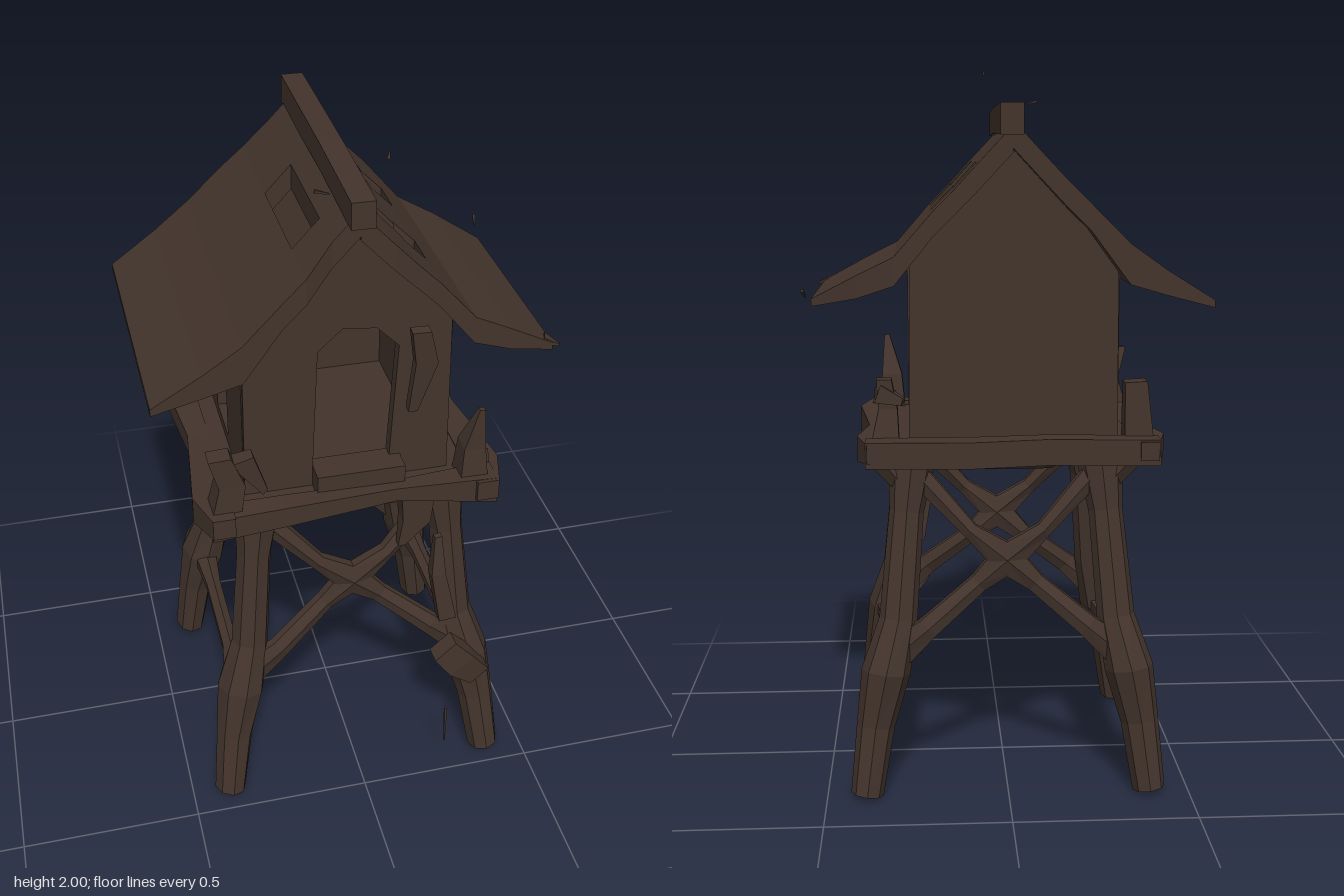
import * as THREE from 'three';

export function createModel() {
  const model = new THREE.Group();
  const wood = new THREE.MeshStandardMaterial({ color: 0x43342c });
  wood.name = 'dark weathered wood';

  function add(name, geometry) {
    const flat = geometry.index ? geometry.toNonIndexed() : geometry;
    flat.computeVertexNormals();
    const mesh = new THREE.Mesh(flat, wood);
    mesh.name = name;
    model.add(mesh);
  }

  // Box whose eight corners are placed by a rule on the signs of x, y, z
  function hex(name, corner) {
    const g = new THREE.BoxGeometry(2, 2, 2);
    const p = g.attributes.position;
    for (let i = 0; i < p.count; i++) p.setXYZ(i, ...corner(p.getX(i), p.getY(i), p.getZ(i)));
    add(name, g);
  }
  const box = (name, x0, x1, y0, y1, z0, z1) =>
    hex(name, (a, b, c) => [a < 0 ? x0 : x1, b < 0 ? y0 : y1, c < 0 ? z0 : z1]);

  // Crooked timber through points [x, y, z, width, depth]; square, or round with a number of sides
  function timber(name, pts, sides = 0) {
    const n = pts.length - 1;
    const v3 = (q) => new THREE.Vector3(q[0], q[1], q[2]);
    const d = v3(pts[n]).sub(v3(pts[0])).normalize();
    const ref = Math.abs(d.z) > 0.7 ? new THREE.Vector3(0, 1, 0) : new THREE.Vector3(0, 0, 1);
    const u = d.clone().cross(ref).normalize();
    const v = u.clone().cross(d);
    const g = sides ? new THREE.CylinderGeometry(0.5, 0.5, 1, sides, n) : new THREE.BoxGeometry(1, 1, 1, 1, n, 1);
    const p = g.attributes.position;
    for (let i = 0; i < p.count; i++) {
      const q = pts[Math.round((p.getY(i) + 0.5) * n)];
      const w = v3(q).addScaledVector(u, p.getX(i) * q[3]).addScaledVector(v, p.getZ(i) * (q[4] ?? q[3]));
      p.setXYZ(i, w.x, w.y, w.z);
    }
    add(name, g);
  }

  // Splayed legs with a knot at the brace joints
  for (const s of [-1, 1]) {
    timber('frontLeg', [[s * 0.39, 0.01, 0.42, 0.09, 0.105], [s * 0.365, 0.2, 0.39, 0.105],
      [s * 0.335, 0.35, 0.355, 0.135, 0.16], [s * 0.3, 0.49, 0.33, 0.105, 0.11],
      [s * 0.275, 0.78, 0.3, 0.095, 0.11], [s * 0.255, 0.96, 0.275, 0.14, 0.15]], 8);
    timber('backLeg', [[s * 0.39, 0.01, -0.32, 0.09, 0.105], [s * 0.365, 0.2, -0.3, 0.105],
      [s * 0.335, 0.35, -0.285, 0.135, 0.16], [s * 0.3, 0.49, -0.255, 0.105, 0.1],
      [s * 0.275, 0.78, -0.2, 0.095, 0.09], [s * 0.255, 0.96, -0.17, 0.14, 0.13]], 8);
    // Low side rail
    timber('sideRail', [[s * 0.335, 0.345, 0.33, 0.1, 0.07], [s * 0.335, 0.335, 0.18, 0.05],
      [s * 0.335, 0.335, -0.1, 0.05], [s * 0.335, 0.33, -0.27, 0.08, 0.07]], 6);
    // Crossed braces, front and back
    for (const [low, mid, high] of [[0.36, 0.32, 0.29], [-0.28, -0.23, -0.19]]) {
      timber('crossBrace', [[s * 0.33, 0.38, low, 0.11, 0.06], [s * 0.22, 0.47, low, 0.07, 0.05],
        [s * 0.08, 0.58, mid, 0.06, 0.05], [0, 0.65, mid, 0.1, 0.06],
        [-s * 0.1, 0.73, mid, 0.05, 0.05], [-s * 0.25, 0.89, high, 0.07, 0.06]], 6);
    }
  }

  // Deck with underframe and rough edge beams
  hex('deck', (a, b, c) => [a * (c > 0 ? 0.39 : 0.37) - 0.01, b > 0 ? 0.985 : 0.94, c > 0 ? 0.38 : -0.36]);
  hex('underframe', (a, b, c) => [a * (b > 0 ? 0.23 : 0.14) + 0.01, b > 0 ? 0.95 : 0.88, (b > 0 ? 0.24 : 0.17) * c + 0.04]);
  for (const s of [-1, 1]) {
    timber('sideBeam', [[s * 0.36 - 0.01, 0.965, 0.42, 0.06, 0.06], [s * 0.375 - 0.01, 0.95, 0.3, 0.1, 0.08],
      [s * 0.36 - 0.01, 0.955, 0, 0.06, 0.06], [s * 0.375 - 0.01, 0.965, -0.25, 0.08, 0.07],
      [s * 0.36 - 0.01, 0.975, -0.38, 0.05, 0.05]]);
    timber('deckBracket', [[s * 0.27, 0.84, 0.29, 0.06], [s * 0.36, 0.95, 0.3, 0.08]], 6);
    timber('deckBracket', [[s * 0.27, 0.84, -0.19, 0.06], [s * 0.36, 0.95, -0.2, 0.08]], 6);
  }
  timber('frontBeam', [[-0.4, 0.95, 0.37, 0.07], [-0.2, 0.975, 0.39, 0.06], [0.1, 0.98, 0.38, 0.04], [0.38, 0.955, 0.37, 0.08]]);
  timber('backBeam', [[-0.4, 0.97, -0.34, 0.07], [-0.1, 0.975, -0.34, 0.07], [0.1, 0.975, -0.37, 0.07, 0.08], [0.38, 0.97, -0.34, 0.07]]);

  // Broken railing posts and rail stumps
  timber('railPost', [[-0.36, 0.97, 0.35, 0.08], [-0.34, 1.07, 0.35, 0.07], [-0.37, 1.16, 0.36, 0.06, 0.05]]);
  timber('railPost', [[0.32, 0.97, 0.35, 0.08], [0.32, 1.08, 0.35, 0.06], [0.335, 1.2, 0.37, 0.015]]);
  timber('railPost', [[-0.35, 0.97, -0.28, 0.08], [-0.34, 1.15, -0.28, 0.06]]);
  timber('railPost', [[0.33, 0.97, -0.28, 0.08], [0.32, 1.08, -0.27, 0.05], [0.33, 1.16, -0.28, 0.04]]);
  timber('brokenRail', [[-0.36, 1.12, 0.36, 0.05], [-0.3, 1.13, 0.36, 0.06, 0.04], [-0.25, 1.03, 0.36, 0.02]]);
  timber('brokenRail', [[0.34, 1.12, -0.28, 0.05], [0.28, 1.1, -0.3, 0.02]]);
  timber('brokenRail', [[0.34, 1.02, 0.34, 0.07, 0.04], [0.33, 1.0, 0.24, 0.02]]);

  // Gabled end walls; the front one has a pointed doorway
  function gable(name, z, doorway) {
    const pts = (list) => list.map((q) => new THREE.Vector2(...q));
    const shape = new THREE.Shape(pts([[-0.295, 0.97], [0.265, 0.97], [0.26, 1.46], [0.18, 1.56], [-0.01, 1.78], [-0.21, 1.57], [-0.29, 1.47]]));
    if (doorway) shape.holes.push(new THREE.Path(pts([[-0.11, 1.03], [-0.095, 1.4], [-0.03, 1.46], [0.06, 1.45], [0.12, 1.39], [0.1, 1.03]])));
    add(name, new THREE.ExtrudeGeometry(shape, { depth: 0.035, bevelEnabled: false }).translate(0, 0, z));
  }
  gable('frontWall', 0.275, true);
  gable('backWall', -0.29, false);

  // Side walls, each with a full-height opening
  for (const [x0, x1] of [[-0.295, -0.26], [0.23, 0.265]]) {
    box('sideWall', x0, x1, 0.97, 1.46, 0.07, 0.3);
    box('sideWall', x0, x1, 0.97, 1.46, -0.28, -0.09);
    box('sideSill', x0, x1, 0.97, 1.015, -0.1, 0.08);
  }
  hex('doorStep', (a, b, c) => [a * 0.12 + 0.01, b > 0 ? 1.05 : 0.98, c > 0 ? 0.37 : 0.27 + b * 0.01]);

  // Sagging roof slopes: stations [x, top, underside, front z, back z], and z limits of holes per strip
  const slopes = [
    {
      stations: [[-0.01, 1.83, 1.76, 0.4, -0.34], [-0.08, 1.755, 1.685, 0.4, -0.345], [-0.15, 1.68, 1.61, 0.43, -0.36],
        [-0.21, 1.62, 1.55, 0.43, -0.375], [-0.31, 1.52, 1.415, 0.435, -0.385], [-0.41, 1.45, 1.385, 0.43, -0.365],
        [-0.54, 1.37, 1.35, 0.425, -0.34]],
      holes: { 1: [-0.05, 0.27] },
    },
    {
      stations: [[-0.01, 1.82, 1.75, 0.4, -0.34], [0.08, 1.725, 1.655, 0.4, -0.35], [0.14, 1.66, 1.595, 0.39, -0.36],
        [0.2, 1.6, 1.535, 0.385, -0.36], [0.3, 1.485, 1.41, 0.375, -0.34], [0.4, 1.435, 1.375, 0.37, -0.31],
        [0.52, 1.37, 1.35, 0.36, -0.25]],
      holes: { 1: [-0.2, -0.1, 0.16, 0.23], 2: [-0.17, -0.06, 0.15, 0.25] },
    },
  ];
  for (const { stations, holes } of slopes) {
    for (let i = 0; i < stations.length - 1; i++) {
      const [left, right] = stations[i + 1][0] > 0 ? [stations[i], stations[i + 1]] : [stations[i + 1], stations[i]];
      const cuts = [null, ...(holes[i] ?? []), null];
      for (let k = 0; k < cuts.length; k += 2) {
        hex('roofSlope', (a, b, c) => {
          const [x, top, under, front, back] = a > 0 ? right : left;
          return [x, b > 0 ? top : under, c > 0 ? cuts[k + 1] ?? front : cuts[k] ?? back];
        });
      }
    }
  }
  timber('eaveSplinter', [[0.5, 1.375, 0.34, 0.02, 0.04], [0.54, 1.36, 0.358, 0.006]]);
  timber('ridgeBeam', [[-0.015, 1.835, 0.44, 0.06, 0.07], [-0.01, 1.84, 0.1, 0.06, 0.07], [-0.005, 1.835, -0.37, 0.06, 0.08]]);

  // Snapped planks hanging from the eaves, deck and front leg
  timber('hangingPlank', [[0.16, 1.46, 0.36, 0.05, 0.03], [0.18, 1.36, 0.35, 0.06, 0.03], [0.15, 1.21, 0.34, 0.025]]);
  timber('hangingPlank', [[0.17, 0.98, 0.34, 0.1, 0.06], [0.17, 0.85, 0.34, 0.08, 0.05], [0.13, 0.77, 0.35, 0.02]]);
  timber('brokenBrace', [[0.22, 0.82, 0.4, 0.02], [0.22, 0.7, 0.41, 0.04], [0.25, 0.54, 0.42, 0.05, 0.04]]);
  timber('brokenBrace', [[0.24, 0.44, 0.44, 0.08, 0.05], [0.29, 0.38, 0.44, 0.09, 0.06], [0.35, 0.32, 0.43, 0.07, 0.06]]);

  // Loose splinters
  const splinters = [
    [[0.03, 1.985, 0.47], [0.035, 2, 0.465]], [[-0.13, 1.905, 0.43], [-0.095, 1.895, 0.43]],
    [[0.535, 1.4, -0.34], [0.53, 1.38, -0.31]], [[0.24, 0.25, 0.495], [0.24, 0.12, 0.5]],
    [[0.235, 0.4, -0.505], [0.24, 0.405, -0.51]],
  ];
  for (const [p, q] of splinters) timber('splinter', [[...p, 0.008], [...q, 0.003]]);

  return model;
}
